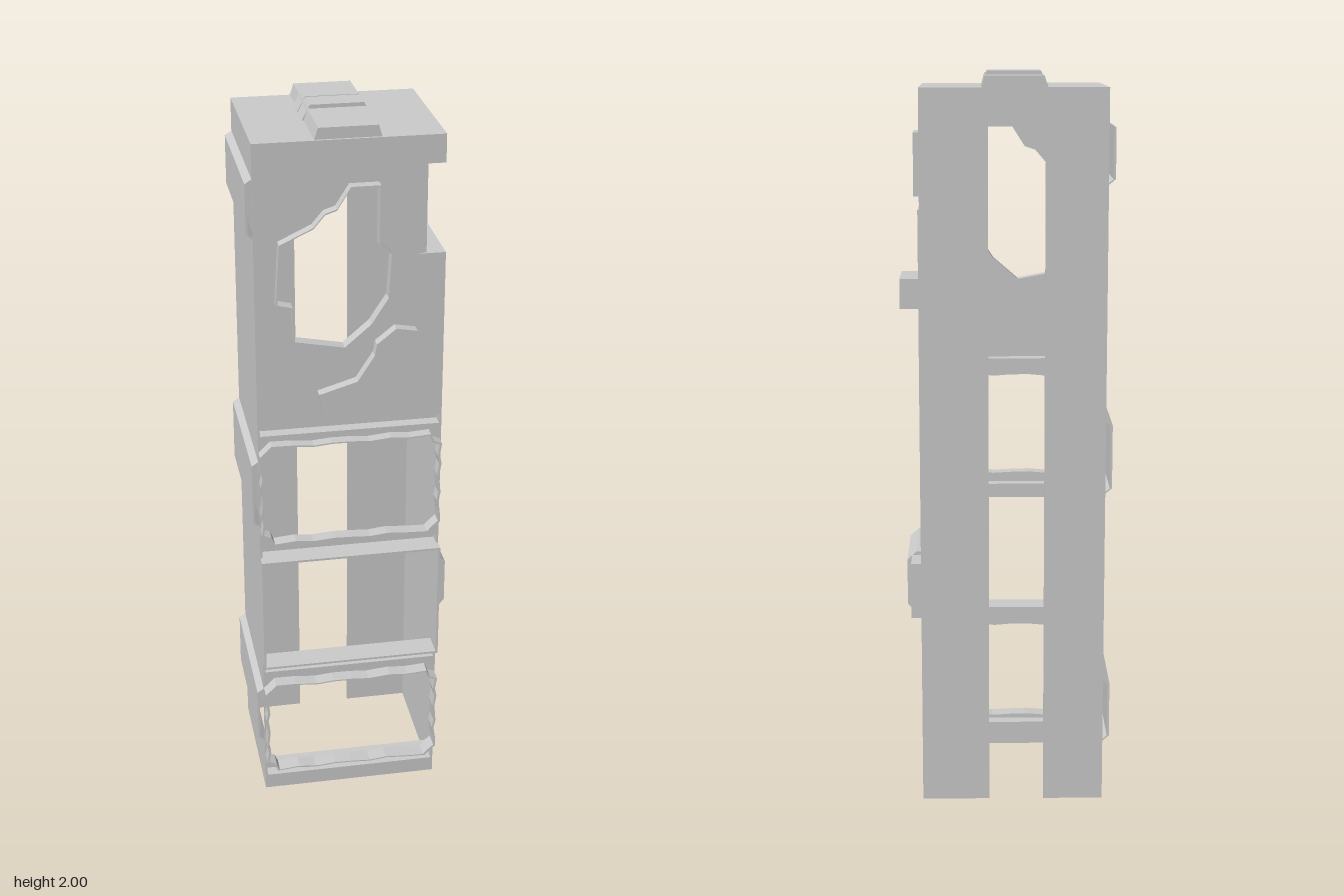
import * as THREE from 'three';

const T = 0.006; // sheet thickness
const XL = -0.265, XR = 0.235, ZB = -0.225, ZF = 0.185;
const material = new THREE.MeshStandardMaterial({ color: 0xcccccc, flatShading: true, side: THREE.DoubleSide });

const toPoints = (list) => list.map(([x, y]) => new THREE.Vector2(x, y));
const rect = (x0, y0, x1, y1) => [[x0, y0], [x1, y0], [x1, y1], [x0, y1]];

function add(parent, name, geometry) {
  const mesh = new THREE.Mesh(geometry, material);
  mesh.name = name;
  parent.add(mesh);
  return mesh;
}

// Box given by its two extreme corners
function box(parent, name, x0, x1, y0, y1, z0, z1) {
  const g = new THREE.BoxGeometry(x1 - x0, y1 - y0, z1 - z0);
  g.translate((x0 + x1) / 2, (y0 + y1) / 2, (z0 + z1) / 2);
  return add(parent, name, g);
}

// Outline in x and y, extruded from z0 to z1, with optional holes
function plate(parent, name, outline, holes, z0, z1) {
  const shape = new THREE.Shape(toPoints(outline));
  holes.forEach((h) => shape.holes.push(new THREE.Path(toPoints(h))));
  const g = new THREE.ExtrudeGeometry(shape, { depth: z1 - z0, bevelEnabled: false });
  g.translate(0, 0, z0);
  return add(parent, name, g);
}

// Thin collar standing out around an opening
function rim(parent, name, contour, z0, z1) {
  const xs = contour.map((p) => p[0]), ys = contour.map((p) => p[1]);
  const cx = (Math.min(...xs) + Math.max(...xs)) / 2, cy = (Math.min(...ys) + Math.max(...ys)) / 2;
  const outer = contour.map(([x, y]) => [cx + (x - cx) * 1.025, cy + (y - cy) * 1.025]);
  return plate(parent, name, outer, [contour], z0, z1);
}

// Rectangle with cut corners and a stepped, ragged edge
function raggedRect(x0, y0, x1, y1, c) {
  const corners = [[x0 + c, y0], [x1 - c, y0], [x1, y0 + c], [x1, y1 - c],
    [x1 - c, y1], [x0 + c, y1], [x0, y1 - c], [x0, y0 + c]];
  const points = [];
  corners.forEach((a, i) => {
    const b = corners[(i + 1) % 8], n = i % 2 ? 2 : 8;
    for (let k = 0; k < n; k++) {
      const t = k / n, w = k === 0 ? 0 : 0.003 * (1 + Math.sin(k * 2.3 + i * 1.7));
      const x = a[0] + (b[0] - a[0]) * t, y = a[1] + (b[1] - a[1]) * t;
      points.push([x + (x < (x0 + x1) / 2 ? w : -w), y + (y < (y0 + y1) / 2 ? w : -w)]);
    }
  });
  return points;
}

export function createModel() {
  const model = new THREE.Group();
  model.name = 'hollowTower';

  // Back wall with a tall slit open at the bottom
  plate(model, 'backWall', [[XL, 0], [-0.1, 0], [-0.1, 1.86], [0.05, 1.86], [0.05, 0],
    [XR, 0], [XR - 0.005, 1.96], [XL, 1.96]], [], ZB, ZB + T);

  // Left wall: one sheet folded outwards into three bands
  const outer = [[XL, 0]];
  for (const [y0, y1] of [[0.17, 0.35], [0.88, 1.08], [1.71, 1.87]]) {
    outer.push([XL, y0], [XL - 0.018, y0 + 0.015], [XL - 0.018, y1 - 0.012], [XL, y1]);
  }
  outer.push([XL, 1.96]);
  const inner = outer.map(([x, y]) => [x + T, y]).reverse();
  plate(model, 'leftWall', [...outer, ...inner], [], ZB, ZF);

  // Right wall, broken by a recess near the top
  box(model, 'rightWall', XR - T, XR, 0, 1.64, ZB, ZF);
  box(model, 'rightWallTop', XR - T - 0.005, XR - 0.005, 1.885, 1.96, ZB, ZF);

  // Front wall panels between the grooves
  const upperHole = [[-0.02, 1.84], [0.055, 1.84], [0.055, 1.685], [0.087, 1.66], [0.08, 1.54],
    [0.035, 1.47], [-0.035, 1.41], [-0.165, 1.435], [-0.17, 1.53], [-0.21, 1.54], [-0.2, 1.70],
    [-0.115, 1.74], [-0.085, 1.775], [-0.055, 1.785]];
  const lowerHole = [[0.05, 1.41], [0.1, 1.45], [0.155, 1.44], [0.17, 1.385], [0.15, 1.34],
    [0.15, 1.245], [0.07, 1.205], [-0.09, 1.21], [-0.1, 1.28], [0, 1.31], [0.045, 1.38]];
  const middleFrame = raggedRect(-0.258, 0.84, 0.225, 1.135, 0.03);
  const bottomFrame = raggedRect(-0.258, 0.09, 0.227, 0.38, 0.03);
  plate(model, 'upperFrontWall', [[XL, 1.18], [XR, 1.18], [XR, 1.64], [0.155, 1.64], [0.155, 1.9],
    [XR - 0.005, 1.9], [XR - 0.005, 1.96], [XL, 1.96]], [upperHole, lowerHole], ZF - T, ZF);
  plate(model, 'middleFrontWall', rect(XL, 0.81, XR, 1.155), [middleFrame], ZF - T, ZF);
  plate(model, 'bottomFrontWall', rect(XL, 0.075, XR, 0.405), [bottomFrame], ZF - T, ZF);
  box(model, 'frontSill', XL, XR, 0, 0.045, ZF - T, ZF);

  // Raised collars around the openings
  rim(model, 'upperHoleRim', upperHole, ZF - T, 0.215);
  rim(model, 'lowerHoleRim', lowerHole, ZF - T, 0.215);
  rim(model, 'middleFrameRim', middleFrame, ZF - T, 0.217);
  rim(model, 'bottomFrameRim', bottomFrame, ZF - T, 0.225);
  plate(model, 'plainFrameRim', rect(XL, 0.435, XR, 0.782),
    [rect(XL + T, 0.441, XR - T, 0.776)], 0.15, 0.216);

  // Horizontal grooves folded into the front
  for (const [y0, y1] of [[0.045, 0.075], [0.405, 0.435], [0.782, 0.81], [1.155, 1.18]]) {
    box(model, 'grooveBack', XL, XR, y0, y1, 0.145, 0.145 + T);
    box(model, 'grooveLowerLedge', XL, XR, y0 - T, y0, 0.145, ZF);
    box(model, 'grooveUpperLedge', XL, XR, y1, y1 + T, 0.145, ZF);
  }

  // Corner recess with window bars and columns
  const bay = new THREE.Group();
  bay.name = 'cornerRecess';
  model.add(bay);
  box(bay, 'recessWall', 0.155, 0.165, 1.64, 1.9, ZB, ZF);
  box(bay, 'recessSill', 0.155, XR, 1.634, 1.645, ZB, ZF);
  box(bay, 'recessCeiling', 0.155, XR - 0.005, 1.885, 1.9, ZB, ZF);
  for (const [z0, z1, x] of [[0.125, 0.18, 0.185], [-0.005, 0.02, 0.215], [-0.035, -0.005, 0.225],
    [-0.075, -0.035, 0.21], [0.02, 0.035, 0.195]]) {
    box(bay, 'recessColumn', 0.16, x, 1.645, 1.885, z0, z1);
  }
  for (const y of [1.645, 1.755, 1.85]) box(bay, 'windowBar', 0.16, 0.19, y, y + 0.025, 0.03, 0.13);

  // Boxes on the right side
  box(model, 'upperSideBox', 0.165, 0.245, 1.68, 1.845, ZB, -0.095);
  box(model, 'smallSideBox', XR - 0.01, 0.284, 1.385, 1.465, ZB, -0.065);
  plate(model, 'lowSideBox', [[0.23, 0.53], [0.262, 0.53], [0.275, 0.545], [0.275, 0.672],
    [0.25, 0.695], [0.23, 0.695]], [], -0.14, 0.108);
  box(model, 'lowSideBoxRear', 0.23, 0.262, 0.53, 0.685, ZB, -0.14);

  // Roof with a raised tapered duct
  box(model, 'roof', XL, XR - 0.005, 1.95, 1.96, ZB, ZF);
  plate(model, 'roofDuct', [[-0.107, 1.955], [0.068, 1.955], [0.058, 1.99], [-0.096, 1.99]], [], ZB, 0.178);
  for (const [z0, z1] of [[-0.132, -0.065], [-0.06, 0.012]]) {
    plate(model, 'roofDuctCollar', [[-0.113, 1.955], [0.07, 1.955], [0.052, 2], [-0.09, 2]], [], z0, z1);
  }
  return model;
}
